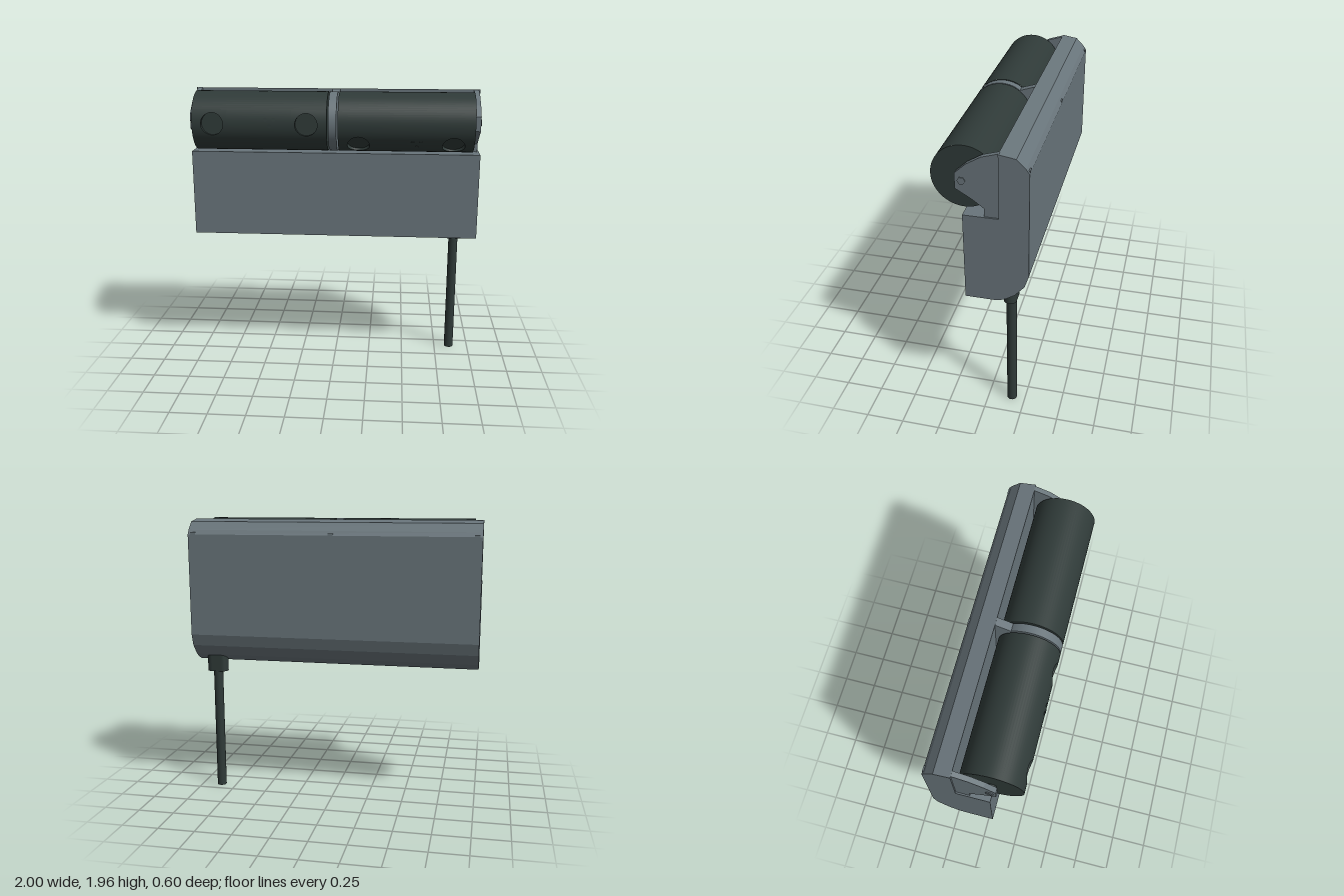
import * as THREE from 'three';

const R = 0.2, AXIS_Y = 1.76, AXIS_Z = 0.1, LENS_R = 0.075, PATCH_X = 0.1, PATCH_T = 0.5;

const grey = new THREE.MeshStandardMaterial({ color: 0x69757b });
grey.name = 'housing grey';
const dark = new THREE.MeshStandardMaterial({ color: 0x2f3a38 });
dark.name = 'roller charcoal';

function add(parent, name, geometry, material, x = 0, y = 0, z = 0) {
  const mesh = new THREE.Mesh(geometry, material);
  mesh.name = name;
  mesh.position.set(x, y, z);
  parent.add(mesh);
  return mesh;
}

// Side profile given as [z, y] points, extruded along x and centred on x = 0
function sideExtrude(points, width) {
  const shape = new THREE.Shape(points.map(([z, y]) => new THREE.Vector2(-z, y)));
  const g = new THREE.ExtrudeGeometry(shape, { depth: width, bevelEnabled: false });
  g.translate(0, 0, -width / 2);
  return g.rotateY(Math.PI / 2);
}

// Grid surface from f(u, v); radial sheets take their normals from the x axis
function sheet(f, nu, nv, radial = false) {
  const pos = [], idx = [];
  for (let j = 0; j <= nv; j++)
    for (let i = 0; i <= nu; i++) pos.push(...f(i / nu, j / nv));
  for (let j = 0; j < nv; j++)
    for (let i = 0; i < nu; i++) {
      const a = j * (nu + 1) + i, c = a + nu + 1;
      idx.push(a, a + 1, c + 1, a, c + 1, c);
    }
  const g = new THREE.BufferGeometry();
  g.setAttribute('position', new THREE.Float32BufferAttribute(pos, 3));
  g.setIndex(idx);
  g.computeVertexNormals();
  if (radial) {
    const p = g.attributes.position, n = g.attributes.normal;
    for (let i = 0; i < p.count; i++) n.setXYZ(i, 0, p.getY(i) / R, p.getZ(i) / R);
  }
  return g;
}

const onRoller = (x, t) => [x, R * Math.sin(t), R * Math.cos(t)];
const rollerSheet = (x0, x1, t0, t1, n) =>
  sheet((u, v) => onRoller(x0 + u * (x1 - x0), t0 + v * (t1 - t0)), 1, n, true);

// Drum with two round recesses and three small sensor dots
function makeRoller(name, x, tilt) {
  const g = new THREE.Group();
  g.name = name;
  g.position.set(x, AXIS_Y, AXIS_Z);
  g.rotation.x = tilt;
  const half = 0.452, lens = 0.316, T = PATCH_T;
  add(g, 'rollerShell', rollerSheet(-half, half, T, 2 * Math.PI - T, 64), dark);
  const cuts = [-half, -lens - PATCH_X, -lens + PATCH_X, lens - PATCH_X, lens + PATCH_X, half];
  for (let i = 0; i < 6; i += 2)
    add(g, 'rollerFrontStrip', rollerSheet(cuts[i], cuts[i + 1], -T, T, 14), dark);

  for (const cx of [-lens, lens]) {
    const rim = (a) => [LENS_R * Math.cos(a), Math.asin(LENS_R / R * Math.sin(a))];
    add(g, 'recessSurround', sheet((u, v) => {
      const a = v * 2 * Math.PI, [rx, rt] = rim(a);
      const m = Math.max(Math.abs(Math.cos(a)), Math.abs(Math.sin(a)));
      const ox = PATCH_X * Math.cos(a) / m, ot = T * Math.sin(a) / m;
      return onRoller(cx + rx + u * (ox - rx), rt + u * (ot - rt));
    }, 6, 48, true), dark);
    const floorZ = 0.17;
    add(g, 'recessWall', sheet((u, v) => {
      const [rx, rt] = rim(v * 2 * Math.PI);
      const [px, py, pz] = onRoller(cx + rx, rt);
      return [px, py, floorZ + u * (pz - floorZ)];
    }, 1, 48), dark);
    add(g, 'recessFloor', new THREE.CircleGeometry(LENS_R, 48), dark, cx, 0, floorZ);
  }

  for (const s of [-1, 1]) {
    const cap = add(g, 'rollerCap', new THREE.CircleGeometry(R, 64), dark, s * half);
    cap.rotation.y = s * Math.PI / 2;
  }
  const dot = new THREE.CylinderGeometry(0.013, 0.013, 0.006, 16).rotateX(Math.PI / 2);
  for (const [dx, dy] of [[0.045, 0.033], [0.1, 0.033], [0.072, -0.01]])
    add(g, 'sensorDot', dot, dark, dx, dy, Math.sqrt(R * R - dy * dy) - 0.001)
      .rotation.x = -Math.asin(dy / R);
  return g;
}

export function createModel() {
  const model = new THREE.Group();
  model.name = 'rollerUnit';

  // Faceted housing with a step in front for the rollers
  add(model, 'housing', sideExtrude([
    [0.1, 0.943], [-0.08, 0.943], [-0.12, 0.948], [-0.16, 0.965], [-0.212, 1.0], [-0.275, 1.075],
    [-0.3, 1.155], [-0.3, 1.855], [-0.28, 1.885], [-0.225, 1.94], [-0.12, 1.957],
    [-0.12, 1.537], [0.1, 1.537],
  ], 2), grey);

  // Rollers, the second turned downwards
  model.add(makeRoller('rightRoller', -0.489, 0));
  model.add(makeRoller('leftRoller', 0.489, Math.PI / 4));

  // Divider between the rollers
  const disc = new THREE.CylinderGeometry(R, R, 0.054, 64).rotateZ(Math.PI / 2);
  add(model, 'dividerDisc', disc, grey, 0, AXIS_Y, AXIS_Z);
  add(model, 'dividerWeb', sideExtrude([
    [-0.125, 1.53], [-0.03, 1.53], [-0.03, 1.59], [0.06, 1.65],
    [0.06, 1.88], [-0.02, 1.92], [-0.125, 1.955],
  ], 0.054), grey);

  // End brackets with pivot pins and hexagonal bolts
  const bracket = sideExtrude([
    [-0.125, 1.53], [-0.03, 1.53], [-0.03, 1.592], [0.04, 1.645], [0.14, 1.705],
    [0.14, 1.805], [0.07, 1.87], [-0.02, 1.925], [-0.125, 1.957],
  ], 0.034);
  const pin = new THREE.CylinderGeometry(0.032, 0.032, 0.03, 24).rotateZ(Math.PI / 2);
  const bolt = new THREE.CylinderGeometry(0.025, 0.025, 0.008, 6).rotateZ(Math.PI / 2);
  for (const s of [-1, 1]) {
    add(model, 'endBracket', bracket, grey, s * 0.973);
    add(model, 'pivotPin', pin, dark, s * 0.95, AXIS_Y, AXIS_Z);
    add(model, 'pivotBolt', bolt, grey, s * 0.992, AXIS_Y, AXIS_Z);
  }

  // Small clips along the upper back edge
  for (const x of [-0.965, 0, 0.965])
    add(model, 'backClip', new THREE.BoxGeometry(0.035, 0.014, 0.012), grey, x, 1.862, -0.294);

  // Cable and its oval boot
  const oval = new THREE.Shape();
  oval.absarc(0.034, 0, 0.041, -Math.PI / 2, Math.PI / 2);
  oval.absarc(-0.034, 0, 0.041, Math.PI / 2, Math.PI * 1.5);
  const boot = new THREE.ExtrudeGeometry(oval, { depth: 0.14, bevelEnabled: false, curveSegments: 12 });
  boot.rotateX(-Math.PI / 2);
  add(model, 'cableBoot', boot, dark, 0.86, 0.873, -0.16);
  add(model, 'cable', new THREE.CylinderGeometry(0.033, 0.033, 0.88, 24), dark, 0.86, 0.44, -0.16);

  return model;
}
